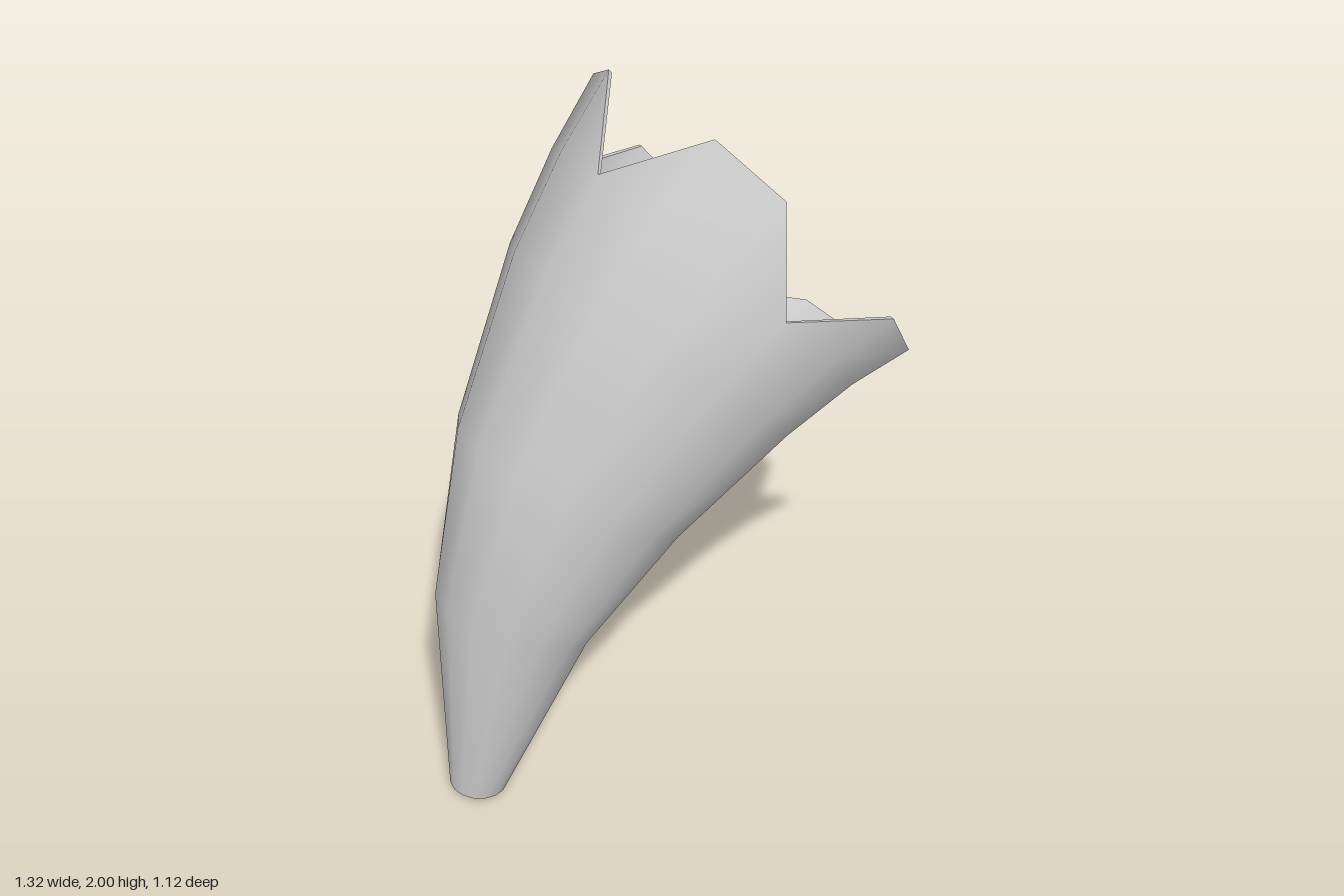
import * as THREE from 'three';

const SIDES = 15; // three columns for each of the five petals
const WALL = 0.012;

// Rings along the bent axis: centre x, y, radius, tilt (degrees) of the outer-bend direction
const RINGS = [
  [-0.584, 0.015, 0.081, 173],
  [-0.438, 0.594, 0.229, 158],
  [-0.242, 0.973, 0.344, 147],
  [0.019, 1.307, 0.454, 136.4],
  [0.19, 1.47, 0.512, 130.4], // petal notches
  [0.345, 1.58, 0.562, 125], // petal tips
];
const NOTCH = 4, TIP = 5;

function ringPoint(ring, k, inset) {
  const [cx, cy, radius, tilt] = RINGS[ring];
  const a = (k / SIDES) * Math.PI * 2, t = THREE.MathUtils.degToRad(tilt);
  const r = radius - inset;
  return [
    cx + r * Math.cos(a) * Math.cos(t),
    cy + r * Math.cos(a) * Math.sin(t),
    r * Math.sin(a),
  ];
}

function mesh(name, positions, index) {
  const geometry = new THREE.BufferGeometry();
  geometry.setAttribute('position', new THREE.Float32BufferAttribute(positions, 3));
  geometry.setIndex(index);
  geometry.computeVertexNormals();
  const material = new THREE.MeshStandardMaterial({ color: 0xcccccc, side: THREE.DoubleSide });
  const m = new THREE.Mesh(geometry, material);
  m.name = name;
  return m;
}

// Smooth trumpet wall whose last row rises into petals between the notches
function wall(name, inset, inward) {
  const positions = [], index = [];
  const id = (ring, k) => ring * SIDES + (k % SIDES);
  const tri = (a, b, c) => (inward ? index.push(a, c, b) : index.push(a, b, c));
  for (let ring = 0; ring <= TIP; ring++)
    for (let k = 0; k < SIDES; k++) positions.push(...ringPoint(ring, k, inset));
  for (let ring = 0; ring < TIP; ring++) {
    for (let k = 0; k < SIDES; k++) {
      const a = id(ring, k), b = id(ring, k + 1), c = id(ring + 1, k + 1), d = id(ring + 1, k);
      const petalStart = ring === NOTCH && k % 3 === 0;
      const petalEnd = ring === NOTCH && k % 3 === 2;
      if (!petalEnd) tri(a, b, c);
      if (petalEnd) tri(a, b, d);
      else if (!petalStart) tri(a, c, d);
    }
  }
  return mesh(name, positions, index);
}

// Flat strip joining the outer and inner walls along an edge
function rim(name, ringAt, down) {
  const positions = [], index = [];
  for (let k = 0; k < SIDES; k++) {
    const n = positions.length / 3;
    for (const [j, inset] of [[k, 0], [k + 1, 0], [k + 1, WALL], [k, WALL]])
      positions.push(...ringPoint(ringAt(j), j, inset));
    if (down) index.push(n, n + 2, n + 1, n, n + 3, n + 2);
    else index.push(n, n + 1, n + 2, n, n + 2, n + 3);
  }
  return mesh(name, positions, index);
}

export function createModel() {
  const group = new THREE.Group();
  group.name = 'trumpetFlower';
  group.add(
    wall('outerWall', 0, false),
    wall('innerWall', WALL, true),
    rim('petalRim', (k) => (k % 3 === 0 ? NOTCH : TIP), false),
    rim('baseRim', () => 0, true),
  );
  return group;
}
